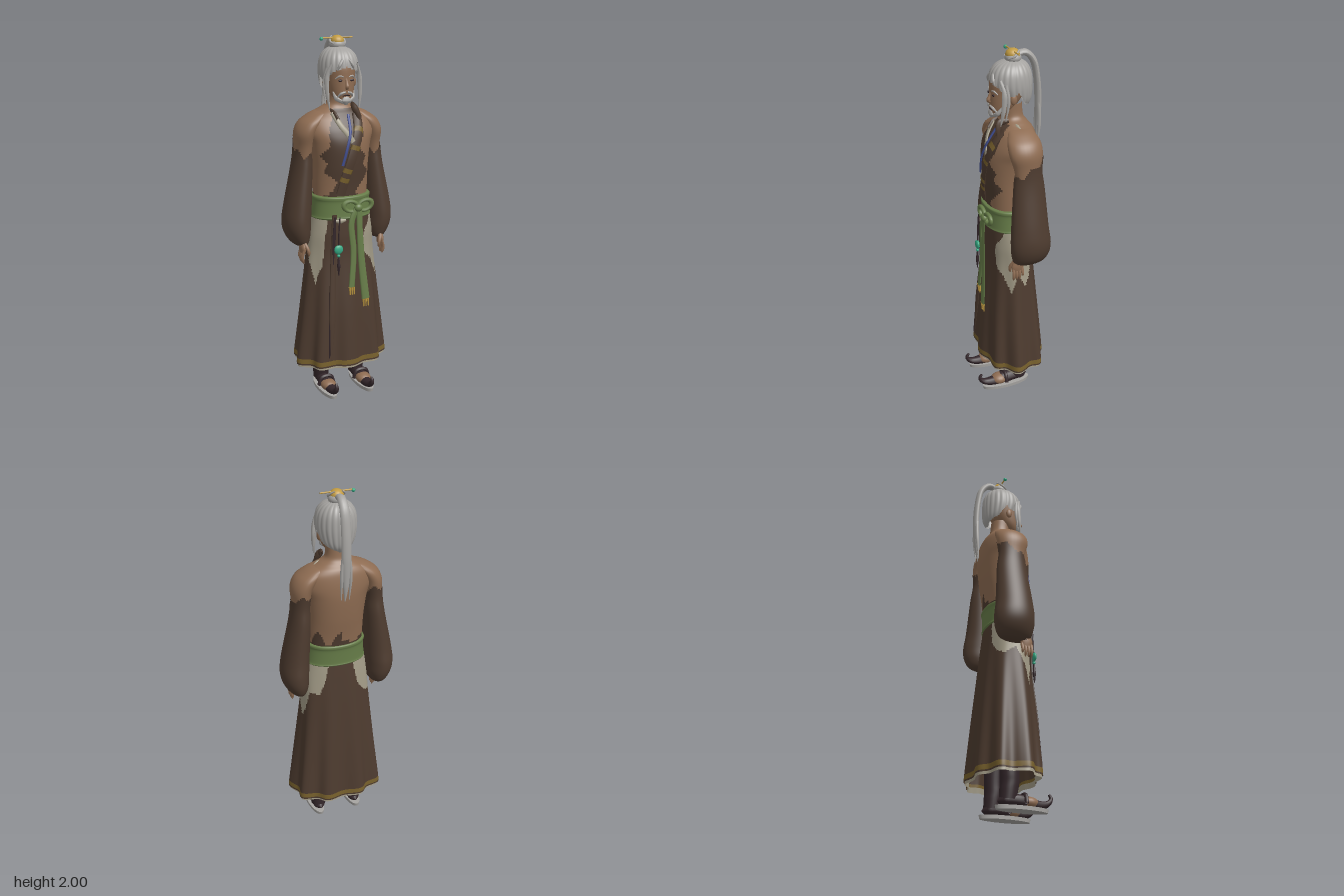
import * as THREE from 'three';

const mat = (name, color, thin) => {
  const m = new THREE.MeshStandardMaterial({ color });
  m.name = name;
  if (thin) m.side = THREE.DoubleSide;
  return m;
};
const skin = mat('skin', 0x8e6c52), robe = mat('robe brown', 0x4d3b2f, true), hair = mat('grey hair', 0xa6a4a1, true),
  green = mat('sash green', 0x667c48, true), gold = mat('gold', 0xc09a42, true), trim = mat('dull gold trim', 0x77602c, true),
  cream = mat('cream linen', 0xa19a86, true), jade = mat('jade', 0x35a883), dark = mat('dark leather', 0x33262a, true),
  blue = mat('blue cord', 0x3f4c8c, true);

// Linear lookup in a table of [key, value] pairs
const look = (table, k) => {
  if (k <= table[0][0]) return table[0][1];
  for (let i = 1; i < table.length; i++) {
    const [k0, v0] = table[i - 1], [k1, v1] = table[i];
    if (k <= k1) return v0 + (v1 - v0) * (k - k0) / (k1 - k0);
  }
  return table[table.length - 1][1];
};
const spow = (v, p) => Math.sign(v) * Math.abs(v) ** p;
const named = (o, name) => { o.name = name; return o; };

// Closed horizontal sections, bottom to top. Row: [y, rx, rz, cz, cx]; angle 0 is the front, +angle is +x.
function loft(name, mats, rows, { seg = 28, steps = 5, p = 1, pick = () => 0, warp = () => 1 } = {}) {
  const list = [].concat(mats), pos = [], ys = [], idx = list.map(() => []);
  const total = (rows.length - 1) * steps;
  for (let k = 0; k <= total; k++) {
    const i = Math.min(Math.floor(k / steps), rows.length - 2), t = k / steps - i;
    const at = (n, c) => rows[Math.max(0, Math.min(rows.length - 1, n))][c] || 0;
    const [y, rx, rz, cz, cx] = [0, 1, 2, 3, 4].map(c => {
      const a = at(i - 1, c), b = at(i, c), d = at(i + 1, c), e = at(i + 2, c);
      return b + 0.5 * t * (d - a + t * (2 * a - 5 * b + 4 * d - e + t * (3 * (b - d) + e - a)));
    });
    ys.push(y);
    for (let j = 0; j < seg; j++) {
      const a = -Math.PI + 2 * Math.PI * j / seg, w = warp(a, y);
      pos.push(cx + Math.max(rx, 0.001) * w * spow(Math.sin(a), p), y, cz + Math.max(rz, 0.001) * w * spow(Math.cos(a), p));
    }
  }
  for (let k = 0; k < total; k++) for (let j = 0; j < seg; j++) {
    const a = k * seg + j, b = k * seg + (j + 1) % seg, c = b + seg, d = a + seg;
    const m = pick(-Math.PI + 2 * Math.PI * (j + 0.5) / seg, (ys[k] + ys[k + 1]) / 2, (pos[a * 3] + pos[b * 3]) / 2);
    if (m >= 0) idx[m].push(a, b, c, a, c, d);
  }
  const g = new THREE.BufferGeometry();
  g.setAttribute('position', new THREE.Float32BufferAttribute(pos, 3));
  g.setIndex(idx.flat());
  let start = 0;
  idx.forEach((l, m) => { g.addGroup(start, l.length, m); start += l.length; });
  g.computeVertexNormals();
  return named(new THREE.Mesh(g, list.length > 1 ? list : list[0]), name);
}

// Tube through points; radius may vary along it, sx and sz flatten it
function strand(name, m, pts, radius, { sx = 1, sz = 1, n = 20, radial = 8 } = {}) {
  const curve = new THREE.CatmullRomCurve3(pts.map(q => new THREE.Vector3(...q)));
  const g = new THREE.TubeGeometry(curve, n, 1, radial), P = g.attributes.position;
  for (let i = 0; i <= n; i++) {
    const c = curve.getPointAt(i / n), r = typeof radius === 'number' ? radius : look(radius, i / n);
    for (let j = 0; j <= radial; j++) {
      const v = i * (radial + 1) + j;
      P.setXYZ(v, c.x + (P.getX(v) - c.x) * r * sx, c.y + (P.getY(v) - c.y) * r, c.z + (P.getZ(v) - c.z) * r * sz);
    }
  }
  g.computeVertexNormals();
  return named(new THREE.Mesh(g, m), name);
}
function ball(name, m, x, y, z, rx, ry = rx, rz = rx) {
  const o = named(new THREE.Mesh(new THREE.SphereGeometry(1, 20, 14), m), name);
  o.position.set(x, y, z);
  o.scale.set(rx, ry, rz);
  return o;
}

const torsoRows = [[1.04, .15, .105, -.01], [1.2, .153, .118, -.016], [1.32, .157, .133, -.02], [1.43, .172, .138, -.025],
  [1.5, .195, .128, -.033], [1.56, .188, .108, -.044], [1.595, .15, .09, -.05], [1.62, .1, .07, -.05], [1.65, .06, .056, -.046], [1.72, .054, .055, -.04]];
const chestZ = (x, y) => {
  const f = c => look(torsoRows.map(r => [r[0], r[c]]), y);
  const s = Math.min(1, Math.abs(x / f(1))) ** (1 / .9);
  return f(3) + f(2) * Math.sqrt(1 - s * s) ** .9;
};
const onChest = (pts, off) => pts.map(([x, y]) => [x, y, chestZ(x, y) + off]);

function createModel() {
  const g = new THREE.Group(), add = (...o) => g.add(...o);

  // Torso with the torn inner shirt
  const shirtR = [[1.15, -.13], [1.19, -.08], [1.24, -.06], [1.29, -.125], [1.34, -.11], [1.38, -.145], [1.43, -.1], [1.52, -.1], [1.62, -.05]];
  const shirtL = [[1.15, .06], [1.18, .04], [1.22, .08], [1.28, .13], [1.33, .085], [1.37, .11], [1.42, .06], [1.5, .1], [1.62, .08]];
  add(loft('torso', [skin, robe], torsoRows, {
    seg: 120, steps: 9, p: .9,
    pick: (a, y, x) => {
      if (Math.abs(a) < 1.57) return y < 1.62 && x > look(shirtR, y) && x < look(shirtL, y) ? 1 : 0;
      return y < 1.16 + (a > 0 ? .08 : .03) * Math.abs(Math.sin(a * 3.5)) ** 2 ? 1 : 0;
    },
  }));

  // Crossed collar bands, cord and collar flaps
  const bandPath = [[.075, 1.59], [.06, 1.5], [.02, 1.38], [-.015, 1.28], [-.045, 1.17]];
  add(strand('collarBand', robe, onChest(bandPath, .005), .027, { sz: .25 }));
  for (const t of [[.062, 1.51], [.035, 1.42], [-.01, 1.3], [-.025, 1.25]])
    add(strand('bandStripe', trim, onChest([[t[0] + .004, t[1] + .012], [t[0] - .004, t[1] - .012]], .007), .028, { sz: .25, n: 2 }));
  add(strand('creamCollar', cream, onChest([[-.06, 1.6], [-.035, 1.54], [.0, 1.49], [.025, 1.45]], .005), .016, { sz: .3 }));
  add(strand('blueCord', blue, onChest([[.02, 1.59], [.01, 1.5], [-.015, 1.42], [-.04, 1.33]], .01), .008, { sz: .5 }));
  add(strand('collarFlapLeft', robe, [[.065, 1.64, .0], [.055, 1.63, .045], [.07, 1.6, .06], [.08, 1.56, .065]], [[0, .012], [.5, .026], [1, .014]], { sx: .6, sz: .6 }));
  add(strand('collarFlapRight', robe, [[-.065, 1.61, .0], [-.055, 1.6, .04], [-.045, 1.57, .07]], .014, { sx: .6, sz: .6 }));
  add(strand('collarScrap', cream, [[.07, 1.625, -.03], [.1, 1.614, -.035], [.125, 1.604, -.045]], [[0, .004], [.5, .01], [1, .003]]));

  // Arms, sleeves with a slanted torn edge, and hands
  for (const s of [-1, 1]) {
    const side = s > 0 ? 'Left' : 'Right';
    add(loft('arm' + side, skin, [[.88, .024, .022, .01, .232 * s], [1.1, .032, .035, -.01, .226 * s], [1.3, .04, .055, -.045, .207 * s],
      [1.41, .046, .072, -.05, .2 * s], [1.49, .056, .09, -.045, .193 * s], [1.545, .062, .09, -.045, .165 * s],
      [1.58, .058, .075, -.047, .127 * s], [1.605, .045, .055, -.05, .09 * s], [1.62, .001, .001, -.05, .07 * s]]));
    add(loft('sleeve' + side, robe, [[.868, .002, .004, -.04, .222 * s], [.88, .038, .078, -.05, .228 * s], [.93, .066, .105, -.055, .238 * s],
      [1.0, .076, .112, -.055, .244 * s], [1.1, .073, .103, -.052, .235 * s], [1.3, .056, .087, -.055, .21 * s],
      [1.4, .05, .078, -.052, .203 * s], [1.49, .059, .094, -.045, .194 * s]], {
      seg: 60, steps: 9, pick: (a, y) => y < 1.42 - .045 * Math.cos(a) + .012 * Math.sin(a * 5) ? 0 : -1,
    }));
    add(loft('hand' + side, skin, [[.84, .012, .03, .017, .235 * s], [.87, .016, .034, .017, .235 * s], [.91, .018, .026, .01, .232 * s], [.95, .02, .022, .005, .23 * s]]));
    for (let f = 0; f < 4; f++) {
      const z = .042 - f * .017, tip = .785 + (f === 3 ? .02 : 0);
      add(strand('finger' + side, skin, [[.235 * s, .86, z], [.245 * s, .82, z], [.238 * s, tip, z]], [[0, .009], [.8, .008], [1, .002]], { n: 8 }));
    }
    add(strand('thumb' + side, skin, [[.23 * s, .9, .03], [.215 * s, .86, .052], [.21 * s, .825, .05]], [[0, .011], [.8, .009], [1, .002]], { n: 8 }));
  }

  // Skirt with linen patches, pleats and trimmed hem
  const patchR = [[-2.8, 1.06], [-2.65, .9], [-2.35, .84], [-2.05, .82], [-1.6, .86], [-1.25, .76], [-1, .66], [-.86, .74], [-.74, .76], [-.66, 1.06]];
  const patchL = [[.45, .94], [.52, .82], [.62, .8], [.85, .77], [1.2, .67], [1.45, .8], [1.7, .7], [1.9, .76], [2.1, .87], [2.5, .86], [2.7, .95], [2.8, 1.06]];
  const patchTop = [[.45, .9], [.55, .95], [.9, 1.01], [1, 1.08]];
  const pleat = (a, y) => 1 + .065 * Math.max(0, Math.min(1, (1 - y) / .8)) * Math.cos(a * 9 + .6 * Math.sin(2 * a));
  add(loft('skirt', [robe, cream, trim], [[.178, .262, .172, -.025], [.23, .258, .17, -.025], [.5, .228, .152, -.022], [.8, .196, .125, -.022],
    [.94, .184, .118, -.015], [1.06, .165, .11, -.01]], {
    seg: 160, steps: 18, p: .88, warp: pleat,
    pick: (a, y) => {
      if (y > .187 && y < .217) return 2;
      return a < 0 ? +(y > look(patchR, a)) : +(y > look(patchL, a) && y < look(patchTop, a));
    },
  }));
  add(loft('underskirtHem', cream, [[.165, .256, .167, -.025], [.195, .252, .164, -.025]], { seg: 120, steps: 2, p: .88, warp: pleat }));
  add(strand('frontFold', robe, [[-.085, 1.06, .11], [-.09, .8, .102], [-.105, .5, .125], [-.12, .22, .143]], [[0, .014], [.7, .02], [1, .002]], { sz: .35 }));
  add(strand('foldEdge', dark, [[-.115, .62, .108], [-.12, .45, .126], [-.13, .24, .143]], [[0, .002], [.4, .007], [1, .003]], { sz: .7 }));
  add(strand('foldShade', dark, [[-.085, 1.05, .117], [-.088, .93, .112], [-.092, .78, .11]], [[0, .006], [.5, .01], [1, .002]], { sz: .3 }));

  // Sash, knot loops and hanging ends
  add(loft('sash', green, [[1.025, .16, .11, -.008], [1.035, .172, .124, -.007], [1.05, .168, .122, -.007], [1.12, .163, .122, -.009],
    [1.14, .167, .126, -.01], [1.153, .164, .124, -.01], [1.158, .145, .105, -.01]], { seg: 64, p: .92 }));
  add(strand('sashGap', cream, [[-.085, 1.028, .108], [-.055, 1.024, .114], [-.02, 1.028, .118]], [[0, .006], [.5, .014], [1, .006]], { sz: .6 }));
  for (const s of [-1, 1]) {
    const loop = named(new THREE.Mesh(new THREE.TorusGeometry(.033, .012, 10, 24), green), 'knotLoop');
    loop.position.set(.045 + .042 * s, 1.105, .128);
    loop.scale.set(1.25, .85, 1);
    loop.rotation.z = .25 * s;
    add(loop);
  }
  add(ball('knot', green, .045, 1.095, .135, .024, .022, .018));
  add(strand('sashEndRight', green, [[.035, 1.09, .135], [.005, 1.02, .138], [.015, .85, .142], [.0, .65, .152]], .018, { sz: .3 }));
  add(strand('sashEndLeft', green, [[.05, 1.09, .138], [.05, 1, .142], [.06, .8, .148], [.08, .575, .162]], [[0, .016], [1, .024]], { sz: .3 }));
  for (const [x, y, z] of [[-.012, .65, .152], [0, .65, .152], [.012, .65, .152], [.066, .575, .162], [.08, .575, .162], [.094, .575, .162]])
    add(strand('tassel', gold, [[x, y, z], [x + .002, y - .02, z], [x + .003, y - .045, z]], [[0, .007], [1, .003]], { n: 4 }));

  // Waist pendant
  add(strand('pendantCord', dark, [[-.06, 1.05, .128], [-.068, .95, .13], [-.07, .75, .132]], .004));
  add(ball('pendantBead', jade, -.07, .87, .132, .026, .026, .012));
  add(ball('pendantSmallBead', jade, -.07, .835, .132, .009));
  add(strand('pendantTassel', dark, [[-.07, .83, .132], [-.07, .78, .133], [-.07, .72, .134]], [[0, .004], [.5, .01], [1, .002]]));

  // Legs, curled-toe shoes and soles
  for (const s of [-1, 1]) {
    const x = .11 * s, side = s > 0 ? 'Left' : 'Right';
    add(loft('legging' + side, dark, [[.05, .042, .045, -.04, x], [.1, .046, .048, -.035, x], [.14, .048, .05, -.03, x], [.22, .05, .052, -.03, x], [.5, .055, .06, -.02, x * .9]]));
    add(strand('shoe' + side, dark, [[x, .04, -.095], [x, .05, -.04], [x, .048, .05], [x, .038, .12], [x, .05, .175], [x, .08, .198], [x, .1, .185]],
      [[0, .004], [.08, .03], [.35, .036], [.55, .031], [.72, .022], [.85, .014], [1, .006]], { n: 30, radial: 14, sx: 1.1 }));
    add(ball('instep' + side, skin, x, .046, .075, .043, .032, .05));
    add(strand('shoeStrap' + side, dark, [[x - .046, .035, .045], [x - .027, .08, .045], [x + .027, .08, .045], [x + .046, .035, .045]], .011));
    const sole = named(new THREE.Mesh(new THREE.CylinderGeometry(1, .97, .02, 32), hair), 'sole' + side);
    sole.scale.set(.045, 1, .145);
    sole.position.set(x + .004 * s, .01, .035);
    add(sole);
  }

  // Head and face
  add(loft('head', skin, [[1.65, .012, .012, .045], [1.66, .034, .032, .036], [1.685, .054, .056, .02], [1.72, .068, .076, .002], [1.78, .079, .095, -.018],
    [1.85, .084, .1, -.028], [1.9, .06, .07, -.035], [1.92, .001, .001, -.035]]));
  add(strand('nose', skin, [[0, 1.785, .074], [0, 1.76, .08], [0, 1.74, .086], [0, 1.73, .075]], [[0, .004], [.7, .011], [1, .007]]));
  add(strand('mouth', dark, [[-.02, 1.694, .071], [0, 1.698, .079], [.02, 1.694, .071]], .003));
  add(strand('beard', hair, [[0, 1.69, .07], [0, 1.672, .073], [0, 1.645, .07]], [[0, .01], [.5, .019], [1, .004]], { sx: 1.5, sz: .6 }));
  for (const s of [-1, 1]) {
    add(ball('eye', dark, .033 * s, 1.774, .071, .011, .006, .005));
    add(strand('eyebrow', hair, [[.014 * s, 1.793, .074], [.035 * s, 1.797, .069], [.056 * s, 1.782, .055]], [[0, .003], [.5, .005], [1, .002]]));
    add(strand('moustache', hair, [[.004 * s, 1.714, .079], [.026 * s, 1.707, .073], [.045 * s, 1.685, .056]], [[0, .005], [.5, .008], [1, .003]]));
    add(strand('jawBeard', hair, [[.061 * s, 1.715, .036], [.046 * s, 1.68, .05], [.01 * s, 1.66, .066]], [[0, .003], [.5, .013], [1, .011]]));
    add(ball('ear', skin, .084 * s, 1.755, -.02, .012, .028, .018));
    // Loose locks framing the face
    add(strand('sideLock', hair, [[.07 * s, 1.86, .048], [.091 * s, 1.8, .033], [.095 * s, 1.72, .038], [.085 * s, 1.62, .052]],
      [[0, .008], [.35, .016], [.7, .012], [1, .002]], { sx: .9 }));
    add(strand('thinLock', hair, [[.088 * s, 1.84, .025], [.103 * s, 1.76, .015], [.1 * s, 1.65, .03]], [[0, .01], [.5, .009], [1, .002]]));
    add(strand('foreheadLock', hair, [[.015 * s, 1.88, .063], [.035 * s, 1.855, .071], [.048 * s, 1.825, .067]], [[0, .01], [.6, .009], [1, .002]]));
  }

  // Combed-back hair with grooves towards the bun
  const hairline = [[0, 1.845], [.35, 1.83], [.65, 1.82], [.95, 1.78], [1.3, 1.775], [1.6, 1.795], [1.9, 1.73], [3.2, 1.68]];
  add(loft('hairCap', hair, [[1.69, .05, .054, -.066], [1.72, .078, .084, -.056], [1.76, .097, .103, -.045], [1.82, .107, .114, -.036], [1.88, .1, .107, -.036],
    [1.92, .075, .082, -.04], [1.94, .038, .042, -.048], [1.947, .001, .001, -.05]], {
    seg: 144, steps: 7, pick: (a, y) => y > look(hairline, Math.abs(a)) ? 0 : -1,
    warp: a => .975 + .04 * Math.abs(Math.sin(a * 11)),
  }));

  // Bun, gold cap, hairpin and ponytail
  add(ball('bun', hair, 0, 1.952, -.05, .045, .032, .043));
  add(ball('bunCap', gold, 0, 1.968, -.048, .037, .032, .038));
  for (const s of [-1, 1])
    add(strand('bunWrap', hair, [[.02 * s, 1.995, -.075], [.036 * s, 1.982, -.06], [.042 * s, 1.965, -.04], [.03 * s, 1.955, -.015]], [[0, .003], [.5, .007], [1, .004]]));
  const pin = named(new THREE.Mesh(new THREE.CylinderGeometry(.004, .004, .175, 10), gold), 'hairpin');
  pin.rotation.z = Math.PI / 2;
  pin.position.set(0, 1.986, -.047);
  add(pin, ball('hairpinBead', jade, -.09, 1.982, -.047, .01));
  add(strand('ponytail', hair, [[0, 1.965, -.07], [0, 1.972, -.115], [0, 1.93, -.16], [0, 1.82, -.186], [0, 1.65, -.194], [0, 1.52, -.188], [0, 1.44, -.178]],
    [[0, .016], [.2, .021], [.6, .021], [.85, .013], [1, .002]], { n: 40, radial: 14, sx: 1.25, sz: .8 }));
  for (const s of [-1, 1])
    add(strand('ponytailWisp', hair, [[.01 * s, 1.75, -.19], [.024 * s, 1.6, -.193], [.022 * s, 1.45, -.182]], [[0, .01], [.6, .01], [1, .002]]));
  return g;
}

export { createModel };
